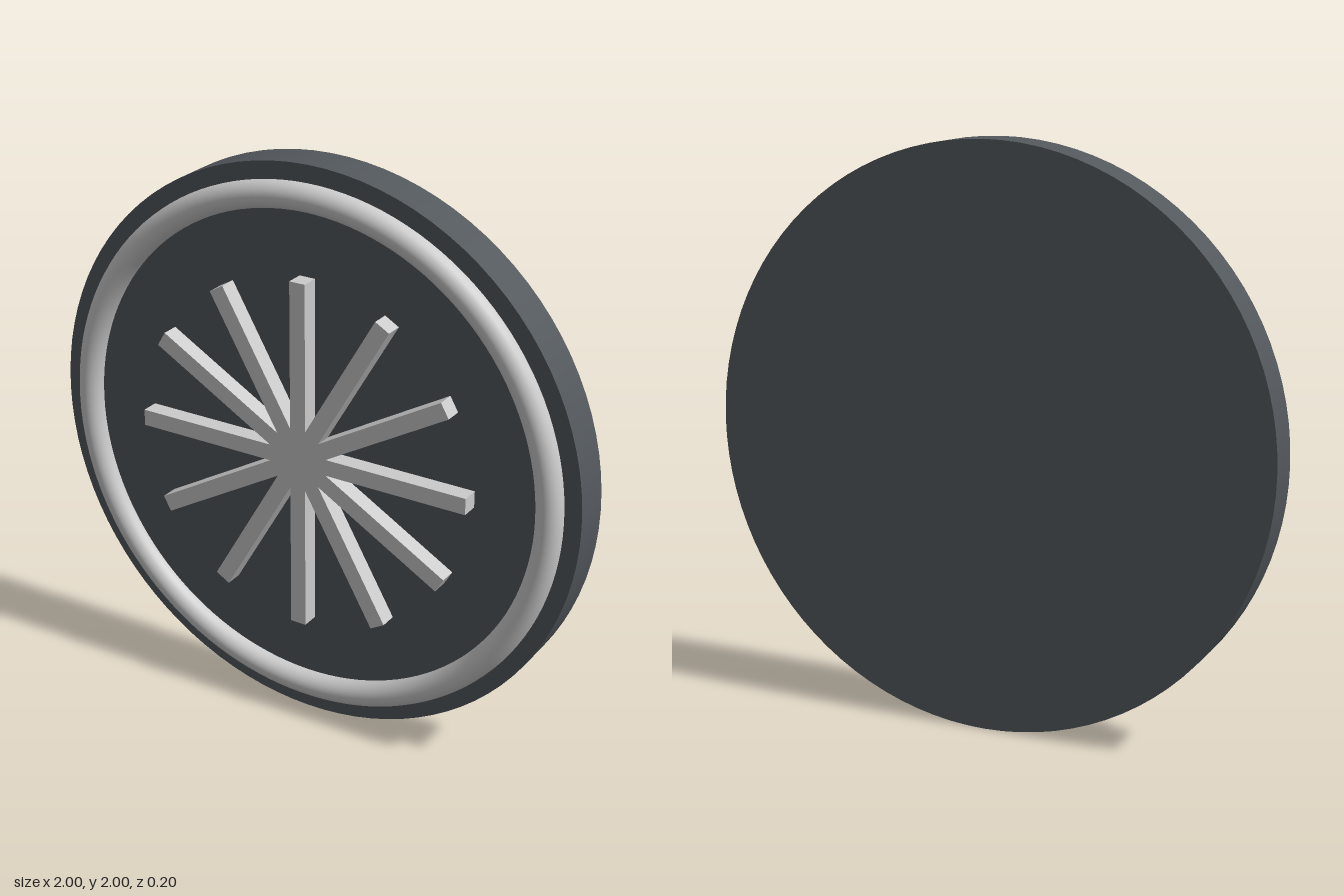
import * as THREE from 'three';

export function createModel() {
  const model = new THREE.Group();
  const dark = new THREE.MeshStandardMaterial({ color: 0x53585d });
  const grey = new THREE.MeshStandardMaterial({ color: 0xcccccc });

  const back = -0.102, face = 0.04, front = 0.102;

  // everything is centred on the middle of the disc
  const medallion = new THREE.Group();
  medallion.name = 'medallion';
  medallion.position.y = 1;
  model.add(medallion);

  // round base plate
  const plateGeometry = new THREE.CylinderGeometry(1, 1, face - back, 96);
  plateGeometry.rotateX(Math.PI / 2);
  const plate = new THREE.Mesh(plateGeometry, dark);
  plate.name = 'basePlate';
  plate.position.z = (face + back) / 2;
  medallion.add(plate);

  // raised rounded ring, half sunk into the plate
  const ring = new THREE.Mesh(new THREE.TorusGeometry(0.895, 0.046, 24, 128), grey);
  ring.name = 'rimRing';
  ring.position.z = 0.047;
  medallion.add(ring);

  // six crossing bars make the twelve-armed star
  const star = new THREE.Group();
  star.name = 'star';
  const depth = front - face + 0.01;
  const barGeometry = new THREE.BoxGeometry(1.254, 0.058, depth);
  for (let i = 0; i < 6; i++) {
    const bar = new THREE.Mesh(barGeometry, grey);
    bar.name = 'starBar' + (i + 1);
    bar.position.z = front - depth / 2;
    bar.rotation.z = (i * Math.PI) / 6;
    star.add(bar);
  }
  medallion.add(star);

  return model;
}
